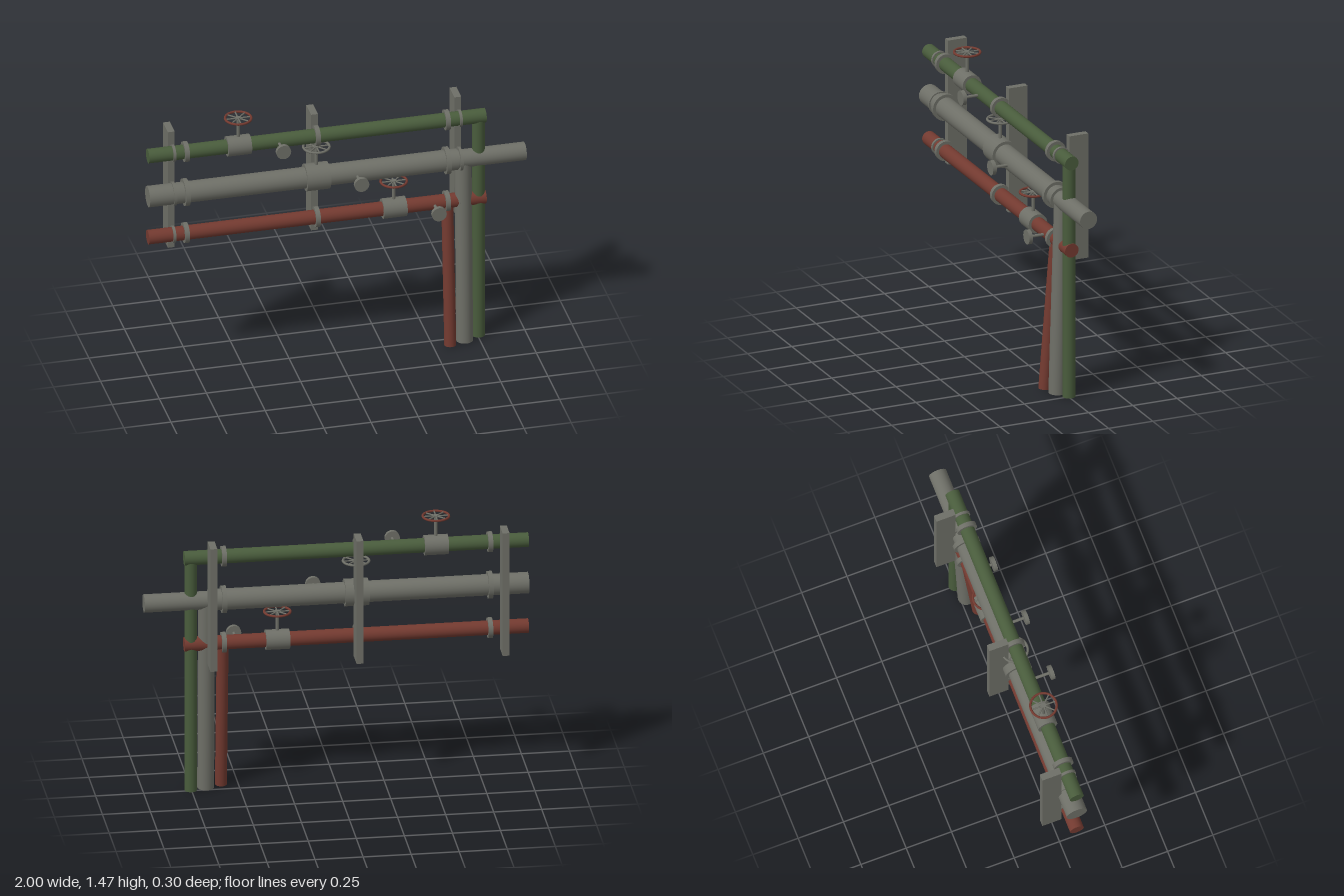
import * as THREE from 'three';

const mat = (name, color) => {
  const m = new THREE.MeshStandardMaterial({ color });
  m.name = name;
  return m;
};

export function createModel() {
  const grey = mat('weathered grey', 0x6e6f67);
  const green = mat('pipe green', 0x495c3c);
  const red = mat('pipe red', 0x733a30);
  const model = new THREE.Group();
  model.name = 'pipeRack';

  // Closed cylinder between two points
  const UP = new THREE.Vector3(0, 1, 0);
  function rod(name, a, b, r, material, parent = model, sides = 24) {
    const p = new THREE.Vector3(...a), q = new THREE.Vector3(...b);
    const d = q.clone().sub(p);
    const mesh = new THREE.Mesh(new THREE.CylinderGeometry(r, r, d.length(), sides), material);
    mesh.position.copy(p).add(q).multiplyScalar(0.5);
    mesh.quaternion.setFromUnitVectors(UP, d.normalize());
    mesh.name = name;
    parent.add(mesh);
    return mesh;
  }

  // Handwheel: rim, spokes and hub around a vertical stem
  function handwheel(x, y0, y1, rimMaterial) {
    const wheel = new THREE.Group();
    wheel.name = 'handwheel';
    wheel.position.set(x, y1, 0);
    const rim = new THREE.Mesh(new THREE.TorusGeometry(0.068, 0.0065, 8, 28), rimMaterial);
    rim.rotation.x = Math.PI / 2;
    rim.name = 'wheelRim';
    wheel.add(rim);
    for (let i = 0; i < 4; i++) {
      const a = (i * Math.PI) / 4, c = 0.068 * Math.cos(a), s = 0.068 * Math.sin(a);
      rod('wheelSpoke', [-c, 0, -s], [c, 0, s], 0.004, grey, wheel, 8);
    }
    rod('wheelHub', [0, -0.006, 0], [0, 0.006, 0], 0.014, grey, wheel, 12);
    rod('valveStem', [0, y0 - y1, 0], [0, 0, 0], 0.009, grey, wheel, 12);
    model.add(wheel);
  }

  const posts = [-0.865, -0.105, 0.655];
  const collars = [-0.8, -0.105, 0.585];

  const lines = [
    { name: 'green', y: 1.3, r: 0.038, end: 0.79, m: green, valve: -0.52, vr: 0.053, wheelY: 1.46, rim: red, gauge: -0.31, gz: 0.112 },
    { name: 'grey', y: 1.06, r: 0.056, end: 0.64, m: grey, valve: -0.105, vr: 0.072, wheelY: 1.235, rim: grey, gauge: 0.1, gz: 0.129 },
    { name: 'red', y: 0.82, r: 0.038, end: 0.79, m: red, valve: 0.305, vr: 0.053, wheelY: 0.975, rim: red, gauge: 0.515, gz: 0.112 },
  ];

  for (const l of lines) {
    // Horizontal run with its collars and the straps at the posts
    rod(l.name + 'Pipe', [-1, l.y, 0], [l.end, l.y, 0], l.r, l.m);
    for (const x of collars) rod('collar', [x - 0.012, l.y, 0], [x + 0.012, l.y, 0], l.r + 0.016, grey);
    for (const x of posts) rod('strap', [x - 0.007, l.y, 0], [x + 0.007, l.y, 0], l.r + 0.007, grey);

    // Valve body and wheel
    rod('valveBody', [l.valve - 0.062, l.y, 0], [l.valve + 0.062, l.y, 0], l.vr, grey);
    handwheel(l.valve, l.y, l.wheelY, l.rim);

    // Gauge facing forward
    rod('gaugeStem', [l.gauge, l.y, 0], [l.gauge, l.y, l.gz], 0.008, grey, model, 12);
    rod('gauge', [l.gauge, l.y, l.gz], [l.gauge, l.y, l.gz + 0.021], 0.039, grey);
  }

  // Narrower outlet of the grey line
  rod('greyOutlet', [0.62, 1.06, 0], [1, 1.06, 0], 0.048, grey);

  // Drop pipes, fanned slightly forward at the foot
  rod('greenDrop', [0.755, 0.005, 0], [0.755, 1.3, 0], 0.033, green);
  rod('greyDrop', [0.673, 0.003, 0.032], [0.673, 1.06, 0], 0.044, grey);
  rod('redDrop', [0.589, 0.003, 0.065], [0.589, 0.82, 0], 0.031, red);

  // Support posts behind the pipes
  for (const x of posts) {
    const post = new THREE.Mesh(new THREE.BoxGeometry(0.036, 0.684, 0.106), grey);
    post.position.set(x, 1.061, -0.093);
    post.name = 'supportPost';
    model.add(post);
  }
  return model;
}
